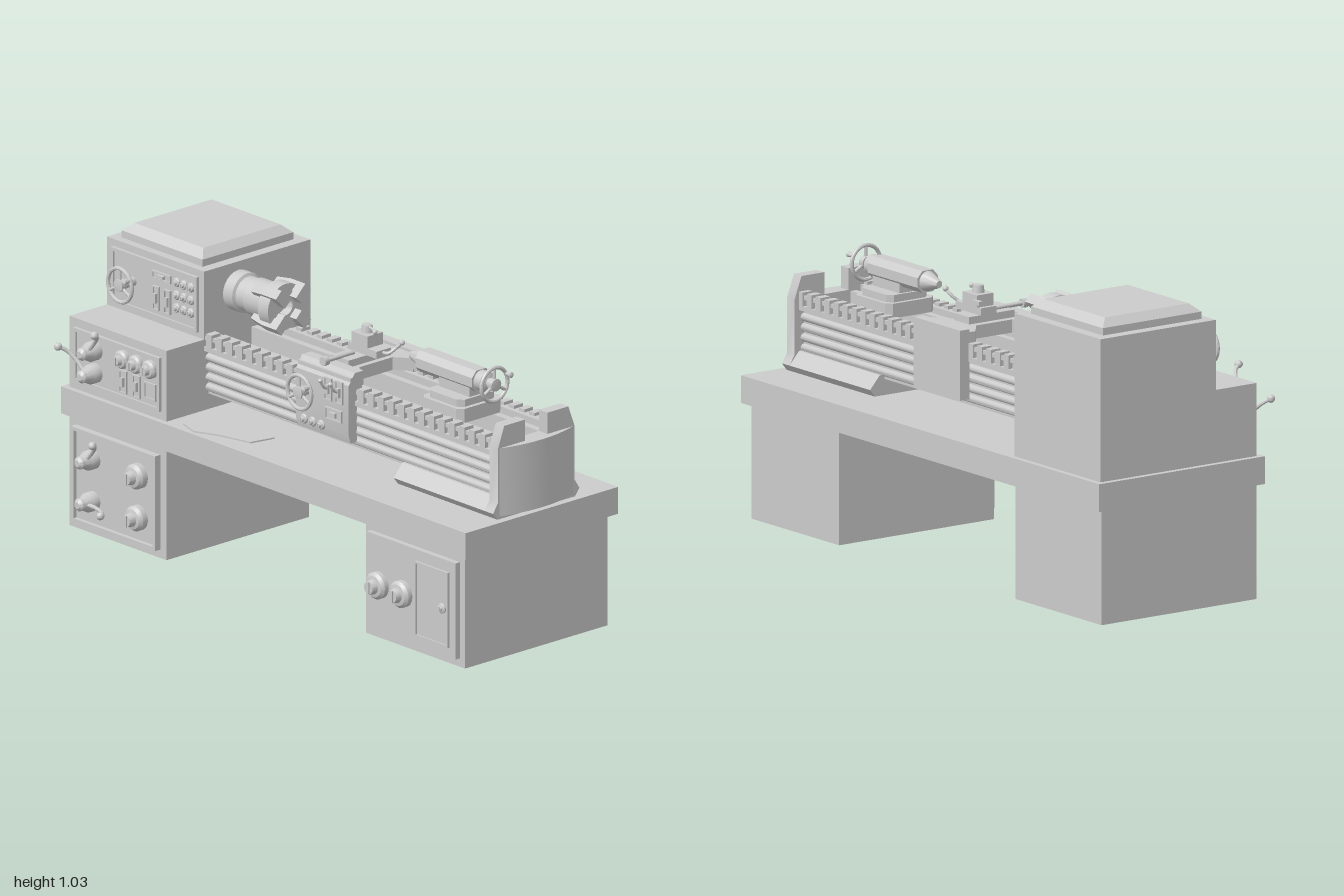
import * as THREE from 'three';
import { toCreasedNormals } from 'three/addons/utils/BufferGeometryUtils.js';

const mat = new THREE.MeshStandardMaterial({ color: 0xcccccc });
const V = (x, y, z) => new THREE.Vector3(x, y, z);

export function createModel() {
  const root = new THREE.Group();
  let parent = root;

  function section(name) {
    parent = new THREE.Group();
    parent.name = name;
    root.add(parent);
  }
  function add(name, geo) {
    const mesh = new THREE.Mesh(toCreasedNormals(geo, 0.6), mat);
    mesh.name = name;
    parent.add(mesh);
    return mesh;
  }
  const box = (name, x0, x1, y0, y1, z0, z1) =>
    add(name, new THREE.BoxGeometry(x1 - x0, y1 - y0, z1 - z0)
      .translate((x0 + x1) / 2, (y0 + y1) / 2, (z0 + z1) / 2));
  const shapeOf = pts => new THREE.Shape(pts.map(p => new THREE.Vector2(p[0], p[1])));
  const extrude = (shape, depth) => new THREE.ExtrudeGeometry(shape, { depth, bevelEnabled: false });
  // [z, y] profile swept along x
  const extrudeX = (name, pts, x0, x1) =>
    add(name, extrude(shapeOf(pts.map(([z, y]) => [-z, y])), x1 - x0).rotateY(Math.PI / 2).translate(x0, 0, 0));
  // [x, z] profile swept upwards
  const extrudeY = (name, pts, y0, y1) =>
    add(name, extrude(shapeOf(pts.map(([x, z]) => [x, -z])), y1 - y0).rotateX(-Math.PI / 2).translate(0, y0, 0));
  const lathe = (pts, n) => new THREE.LatheGeometry(pts.map(p => new THREE.Vector2(p[0], p[1])), n);
  // [radius, offset] profiles turned about z or x
  const turnZ = (name, pts, x, y, z, n = 20) => add(name, lathe(pts, n).rotateX(Math.PI / 2).translate(x, y, z));
  const turnX = (name, pts, x, y, z, n = 24) => add(name, lathe(pts, n).rotateZ(-Math.PI / 2).translate(x, y, z));
  const ball = (name, p, r) => add(name, new THREE.SphereGeometry(r, 14, 10).translate(p.x, p.y, p.z));
  const tube = (name, pts, r) => add(name, new THREE.TubeGeometry(new THREE.CatmullRomCurve3(pts), 12, r, 8));

  // raised border with a recessed plate
  function framedPanel(x0, x1, y0, y1, z, d, w = 0.012) {
    const s = shapeOf([[x0, y0], [x1, y0], [x1, y1], [x0, y1]]);
    s.holes.push(shapeOf([[x0 + w, y0 + w], [x0 + w, y1 - w], [x1 - w, y1 - w], [x1 - w, y0 + w]]));
    add('panelFrame', extrude(s, d).translate(0, 0, z));
    box('panelPlate', x0 + w, x1 - w, y0 + w, y1 - w, z, z + d * 0.4);
  }
  function dial(x, y, z, r, d = r) {
    turnZ('dial', [[0, 0], [r, 0], [r, d * 0.35], [r * 0.8, d * 0.55], [r * 0.55, d * 0.6], [r * 0.45, d], [0, d]], x, y, z);
    box('dialGrip', x - r * 0.12, x + r * 0.12, y - r * 0.45, y + r * 0.45, z + d * 0.6, z + d * 1.08);
  }
  function slotSwitch(x, y, z, w, h) {
    framedPanel(x - w / 2, x + w / 2, y - h / 2, y + h / 2, z, 0.008, 0.005);
    box('switchToggle', x - w * 0.18, x + w * 0.18, y - h * 0.2, y + h * 0.2, z, z + 0.014);
  }
  // hub with a curved arm ending in a ball at (dx, dy)
  function lever(x, y, z, dx, dy) {
    turnZ('leverHub', [[0, 0], [0.034, 0], [0.034, 0.03], [0.022, 0.052], [0.022, 0.066], [0.012, 0.075], [0, 0.075]], x, y, z);
    const tip = V(x + dx, y + dy, z + 0.088);
    tube('leverArm', [V(x, y, z + 0.042), V(x + dx * 0.45, y + dy * 0.45, z + 0.045),
      V(x + dx * 0.82, y + dy * 0.82, z + 0.062), tip], 0.007);
    ball('leverBall', tip, 0.014);
  }
  // spoked wheel facing +z, or +x when sideways
  function handwheel(name, x, y, z, r, stem, sideways) {
    const outer = parent, g = new THREE.Group();
    g.name = name;
    parent = g;
    add('rim', new THREE.TorusGeometry(r - 0.007, 0.007, 8, 28));
    turnZ('hub', [[0, -stem], [0.016, -stem], [0.016, -0.012], [0.022, -0.012], [0.022, 0.01], [0, 0.014]], 0, 0, 0);
    for (let i = 0; i < 3; i++) {
      const a = Math.PI / 2 + i * Math.PI * 2 / 3;
      tube('spoke', [V(0, 0, 0), V(Math.cos(a) * (r - 0.007), Math.sin(a) * (r - 0.007), 0)], 0.006);
    }
    turnZ('crankGrip', [[0, 0], [0.006, 0], [0.01, 0.03], [0, 0.035]], r * 0.76, r * 0.44, 0, 10);
    g.position.set(x, y, z);
    if (sideways) g.rotation.y = Math.PI / 2;
    outer.add(g);
    parent = outer;
  }

  // tray and the two cabinets
  section('base');
  box('tray', -1, 1, 0.395, 0.49, -0.39, 0.3);
  box('leftCabinet', -0.98, -0.5, 0, 0.395, -0.365, 0.28);
  box('rightCabinet', 0.485, 0.975, 0, 0.395, -0.365, 0.28);
  extrudeY('trayPuddle', [[-0.47, 0.2], [-0.38, 0.13], [-0.25, 0.15], [-0.13, 0.13], [-0.15, 0.22], [-0.28, 0.25], [-0.36, 0.285], [-0.44, 0.26]], 0.49, 0.495);

  section('leftCabinetControls');
  framedPanel(-0.945, -0.53, 0.03, 0.365, 0.28, 0.025);
  lever(-0.85, 0.27, 0.29, 0.09, 0.09);
  lever(-0.85, 0.122, 0.29, 0.13, 0);
  for (const y of [0.27, 0.122]) dial(-0.625, y, 0.29, 0.044, 0.06);

  section('rightCabinetDoor');
  box('frontPlate', 0.51, 0.95, 0.03, 0.37, 0.28, 0.3);
  for (const x of [0.573, 0.69]) dial(x, 0.197, 0.3, 0.047, 0.05);
  framedPanel(0.755, 0.92, 0.065, 0.33, 0.3, 0.008, 0.007);
  dial(0.888, 0.197, 0.303, 0.018, 0.015);

  // headstock housing, lid and gearbox
  section('headstock');
  box('housing', -0.98, -0.5, 0.49, 0.98, -0.37, 0.11);
  box('gearbox', -0.98, -0.5, 0.49, 0.74, 0.1, 0.28);
  box('lidBase', -0.94, -0.54, 0.98, 1.005, -0.33, 0.08);
  const lid = new THREE.CylinderGeometry(0.85 * Math.SQRT1_2, Math.SQRT1_2, 1, 4).rotateY(Math.PI / 4);
  add('lidBevel', lid.scale(0.4, 0.027, 0.41).translate(-0.74, 1.0185, -0.125));

  section('headstockControls');
  framedPanel(-0.95, -0.525, 0.76, 0.955, 0.11, 0.012);
  handwheel('speedWheel', -0.845, 0.858, 0.175, 0.066, 0.06);
  slotSwitch(-0.7, 0.912, 0.115, 0.09, 0.028);
  for (const x of [-0.728, -0.672]) slotSwitch(x, 0.83, 0.115, 0.032, 0.085);
  for (let i = 0; i < 9; i++) dial(-0.625 + (i % 3) * 0.035, 0.822 + Math.floor(i / 3) * 0.045, 0.115, 0.016, 0.02);

  section('gearboxControls');
  framedPanel(-0.95, -0.525, 0.52, 0.71, 0.28, 0.012);
  lever(-0.845, 0.655, 0.285, 0.09, 0.095);
  lever(-0.845, 0.575, 0.285, -0.09, 0.09);
  for (const x of [-0.705, -0.638, -0.57]) dial(x, 0.66, 0.285, 0.032, 0.04);
  for (const x of [-0.705, -0.638]) slotSwitch(x, 0.58, 0.285, 0.036, 0.08);
  framedPanel(-0.603, -0.545, 0.55, 0.61, 0.283, 0.008, 0.006);

  // spindle and four-jaw chuck
  const cy = 0.88, cz = -0.045;
  section('chuck');
  turnX('chuckBody', [[0, 0], [0.07, 0], [0.07, 0.045], [0.06, 0.05], [0.06, 0.09], [0.066, 0.095], [0.066, 0.18],
    [0.082, 0.185], [0.082, 0.235], [0.03, 0.235], [0.03, 0.2], [0, 0.2]], -0.5, cy, cz);
  for (let i = 0; i < 4; i++) {
    const jaw = extrude(shapeOf([[-0.36, 0.055], [-0.26, 0.055], [-0.26, 0.035], [-0.228, 0.035], [-0.228, 0.094], [-0.3, 0.094], [-0.36, 0.084]]), 0.036);
    jaw.translate(0, 0, -0.018).rotateX(Math.PI / 4 + i * Math.PI / 2).translate(0, cy, cz);
    add('jaw', jaw);
  }

  // bed: mirrored side walls with ribs and a toothed rail
  section('bed');
  box('bedFloor', -0.5, 0.94, 0.545, 0.64, -0.17, 0.08);
  for (const s of [1, -1]) {
    const Z = d => cz + s * d;
    const slab = (name, x0, x1, y0, y1, a, b) => box(name, x0, x1, y0, y1, Math.min(Z(a), Z(b)), Math.max(Z(a), Z(b)));
    slab('bedWall', -0.5, 0.94, 0.545, 0.715, 0.1, 0.135);
    slab('innerWay', -0.5, 0.94, 0.64, 0.735, 0.06, 0.085);
    slab('railBottom', -0.5, 0.94, 0.7, 0.716, 0.1, 0.155);
    slab('railCore', -0.5, 0.94, 0.71, 0.74, 0.1, 0.14);
    slab('railTop', -0.5, 0.94, 0.738, 0.752, 0.1, 0.15);
    for (let i = 0; i < 29; i++) slab('railTooth', -0.49 + i * 0.05, -0.463 + i * 0.05, 0.714, 0.763, 0.115, 0.155);
    for (let i = 0; i < 4; i++)
      add('rib', new THREE.CylinderGeometry(0.014, 0.014, 1.44, 12).rotateZ(Math.PI / 2).translate(0.22, 0.674 - i * 0.035, Z(0.135)));
  }
  extrudeX('bedFoot', [[0.13, 0.49], [0.15, 0.515], [0.11, 0.56], [-0.2, 0.56], [-0.24, 0.515], [-0.22, 0.49]], 0.48, 0.94);
  extrudeX('endPost', [[0.13, 0.49], [0.15, 0.515], [0.128, 0.55], [0.128, 0.74], [0.1, 0.815], [0.005, 0.815], [0.005, 0.74],
    [-0.095, 0.74], [-0.095, 0.815], [-0.19, 0.815], [-0.218, 0.74], [-0.218, 0.55], [-0.24, 0.515], [-0.22, 0.49]], 0.93, 0.972);
  const bulge = [];
  for (let i = 0; i <= 12; i++) {
    const t = i / 6 - 1;
    bulge.push([0.97 + 0.03 * (1 - t * t), cz - t * 0.172]);
  }
  extrudeY('endCover', bulge, 0.5, 0.74);

  // carriage: H-shaped saddle, front apron, rear plate
  section('carriage');
  const half = [[-0.015, 0.13], [-0.015, 0.08], [0.05, 0.03], [0.05, -0.12], [-0.015, -0.17], [-0.015, -0.235]];
  extrudeY('saddle', [...half, ...half.map(([x, z]) => [0.23 - x + 0.0, z]).reverse()], 0.755, 0.8);
  box('rearPlate', -0.015, 0.245, 0.57, 0.81, -0.235, -0.195);
  extrudeX('apron', [[0.1, 0.57], [0.13, 0.57], [0.138, 0.6], [0.138, 0.775], [0.11, 0.815], [0.07, 0.815], [0.07, 0.765], [0.1, 0.765]], -0.015, 0.245);
  handwheel('apronWheel', 0.045, 0.712, 0.178, 0.066, 0.05);
  for (const x of [0.148, 0.202]) slotSwitch(x, 0.742, 0.138, 0.036, 0.08);
  slotSwitch(0.175, 0.657, 0.138, 0.08, 0.042);
  for (let i = 0; i < 3; i++) dial(0.027 + i * 0.042, 0.605, 0.134, 0.017, 0.022);
  for (const x of [0.15, 0.2]) {
    tube('feedLever', [V(x, 0.742, 0.14), V(x, 0.755, 0.165), V(x, 0.78, 0.18)], 0.005);
    ball('feedKnob', V(x, 0.78, 0.18), 0.008);
  }

  // cross slide and tool post
  section('toolPost');
  box('crossSlide', 0.075, 0.16, 0.8, 0.825, -0.13, 0.06);
  turnZ('crossScrew', [[0, 0], [0.008, 0], [0.008, 0.12], [0.016, 0.12], [0.016, 0.14], [0, 0.14]], 0.118, 0.83, 0, 12);
  box('topSlide', 0.07, 0.21, 0.825, 0.85, -0.085, -0.02);
  box('toolBlock', 0.085, 0.165, 0.85, 0.892, -0.09, -0.02);
  add('clampNut', new THREE.CylinderGeometry(0.018, 0.022, 0.028, 12).translate(0.125, 0.904, -0.055));
  tube('clampLever', [V(0.125, 0.91, -0.055), V(0.15, 0.912, -0.05), V(0.175, 0.905, -0.045)], 0.005);
  box('toolBit', 0.06, 0.1, 0.862, 0.876, -0.1, -0.084);
  tube('slideCrank', [V(0.2, 0.84, -0.05), V(0.23, 0.842, -0.055), V(0.246, 0.86, -0.075), V(0.265, 0.88, -0.085)], 0.006);
  ball('slideCrankKnob', V(0.265, 0.882, -0.086), 0.01);
  ball('clampKnob', V(0.175, 0.905, -0.045), 0.009);

  // tailstock with quill, centre and handwheel
  section('tailstock');
  const pad = (hx, hz, c) => [[-hx + c, hz], [hx - c, hz], [hx, hz - c], [hx, -hz + c], [hx - c, -hz], [-hx + c, -hz], [-hx, -hz + c], [-hx, hz - c]]
    .map(([x, z]) => [x + 0.605, z + cz]);
  extrudeY('tailBase', pad(0.1, 0.1, 0.02), 0.74, 0.79);
  extrudeY('tailPad', pad(0.085, 0.085, 0.02), 0.79, 0.815);
  box('tailColumn', 0.53, 0.68, 0.81, 0.86, cz - 0.035, cz + 0.035);
  extrudeX('tailBody', [[0.022, 0.835], [0.042, 0.855], [0.042, 0.888], [0.022, 0.91], [-0.022, 0.91], [-0.042, 0.888], [-0.042, 0.855], [-0.022, 0.835]]
    .map(([z, y]) => [z + cz, y]), 0.42, 0.7);
  turnX('quill', [[0, 0], [0.012, 0], [0.03, 0.05], [0.036, 0.07], [0, 0.07]], 0.355, 0.873, cz);
  turnX('tailCollar', [[0, 0], [0.035, 0], [0.035, 0.03], [0.02, 0.04], [0, 0.04]], 0.7, 0.873, cz);
  handwheel('tailWheel', 0.765, 0.873, cz, 0.066, 0.05, true);

  return root;
}
